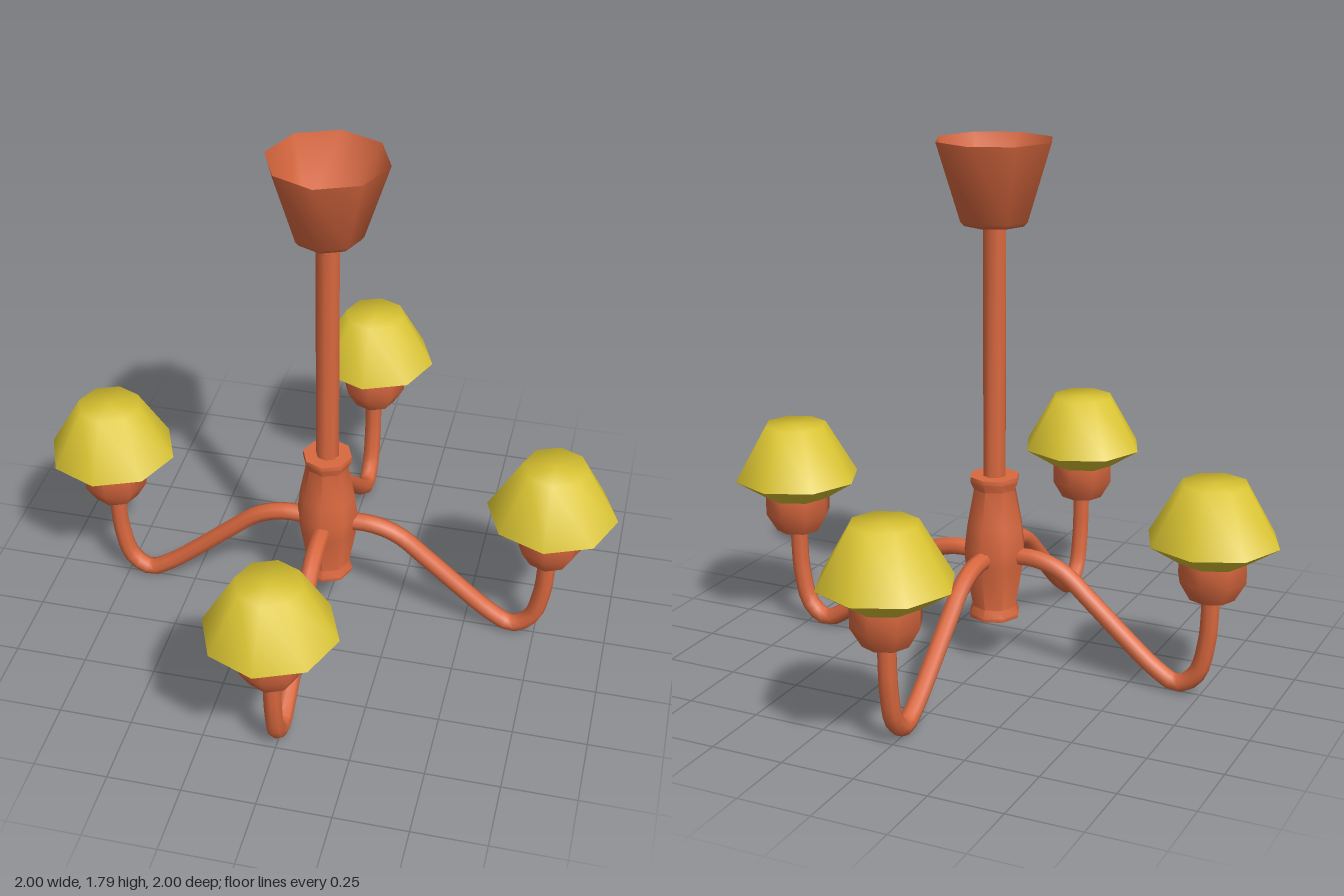
import * as THREE from 'three';
import { toCreasedNormals } from 'three/addons/utils/BufferGeometryUtils.js';

const copper = new THREE.MeshStandardMaterial({ color: 0xd9683f });
const copperOpen = new THREE.MeshStandardMaterial({ color: 0xd9683f, side: THREE.DoubleSide });
const yellow = new THREE.MeshStandardMaterial({ color: 0xd9c332 });

// Eight-sided turned part; profile is [radius, height] from bottom to top
function turned(name, profile, material, crease = 0.9) {
  const points = profile.map(([r, y]) => new THREE.Vector2(r, y));
  const mesh = new THREE.Mesh(toCreasedNormals(new THREE.LatheGeometry(points, 8), crease), material);
  mesh.name = name;
  return mesh;
}

// One curved arm along +x with its cup and shade
function createArm() {
  const arm = new THREE.Group();
  const path = new THREE.CatmullRomCurve3([
    [0.06, 0.39], [0.16, 0.39], [0.25, 0.36], [0.36, 0.27], [0.48, 0.165], [0.59, 0.075],
    [0.67, 0.035], [0.735, 0.08], [0.768, 0.2], [0.775, 0.3], [0.776, 0.39],
  ].map(([x, y]) => new THREE.Vector3(x, y, 0)));
  const tube = new THREE.Mesh(new THREE.TubeGeometry(path, 32, 0.031, 8), copper);
  tube.name = 'armTube';

  const cup = turned('lampCup',
    [[0, 0.36], [0.078, 0.36], [0.116, 0.425], [0.116, 0.49], [0, 0.49]], copper);
  const shade = turned('lampShade',
    [[0, 0.485], [0.11, 0.485], [0.222, 0.557], [0.11, 0.75], [0, 0.75]], yellow, 1.25);
  cup.position.x = shade.position.x = 0.778;
  arm.add(tube, cup, shade);
  return arm;
}

export function createModel() {
  const model = new THREE.Group();
  model.name = 'chandelier';

  // Ceiling funnel, open at the top
  model.add(turned('ceilingCanopy',
    [[0, 1.525], [0.105, 1.525], [0.118, 1.54], [0.2, 1.8]], copperOpen));

  // Stem
  const stem = new THREE.Mesh(
    toCreasedNormals(new THREE.CylinderGeometry(0.04, 0.04, 0.92, 8), 0.9), copper);
  stem.name = 'stem';
  stem.position.y = 1.07;
  model.add(stem);

  // Central hub with flared ends
  model.add(turned('hub', [
    [0, 0.165], [0.088, 0.165], [0.09, 0.178], [0.078, 0.205], [0.105, 0.36], [0.108, 0.42],
    [0.098, 0.5], [0.074, 0.625], [0.087, 0.655], [0.085, 0.67], [0, 0.67],
  ], copper));

  // Four arms around the hub
  for (let i = 0; i < 4; i++) {
    const arm = createArm();
    arm.name = `lampArm${i + 1}`;
    arm.rotation.y = i * Math.PI / 2;
    model.add(arm);
  }
  return model;
}
